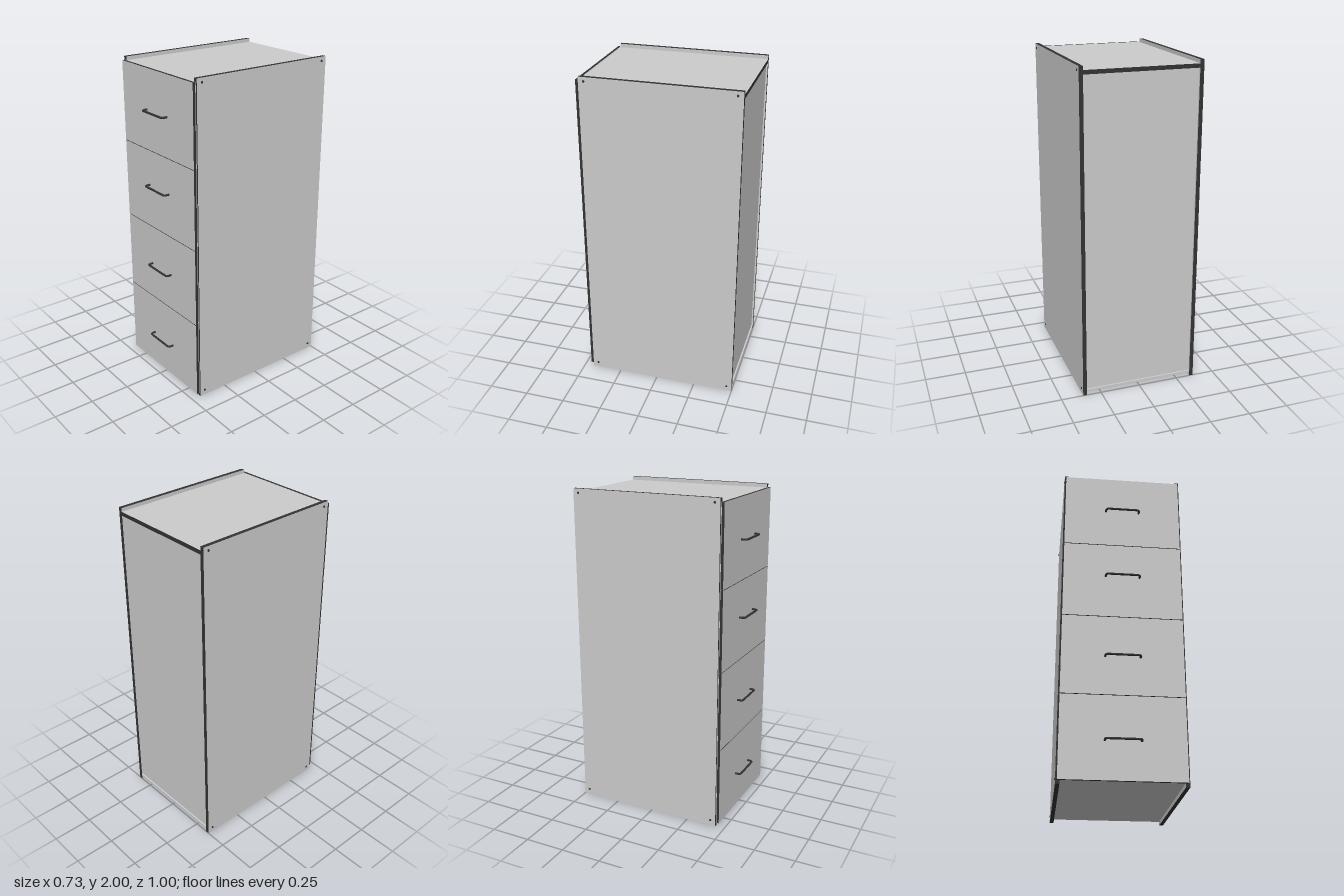
import * as THREE from 'three';

const grey = new THREE.MeshStandardMaterial({ color: 0xcccccc });
const dark = new THREE.MeshStandardMaterial({ color: 0x333333 });

// Box given by its limits; banded names the axis whose two faces stay grey, the rest being dark edges
function panel(name, [x0, x1], [y0, y1], [z0, z1], banded) {
  const geometry = new THREE.BoxGeometry(x1 - x0, y1 - y0, z1 - z0);
  const axis = 'xyz'.indexOf(banded);
  const material = banded
    ? [0, 1, 2, 3, 4, 5].map(i => (Math.floor(i / 2) === axis ? grey : dark))
    : grey;
  const mesh = new THREE.Mesh(geometry, material);
  mesh.position.set((x0 + x1) / 2, (y0 + y1) / 2, (z0 + z1) / 2);
  mesh.name = name;
  return mesh;
}

// U-shaped bar handle with rounded corners
function handleGeometry() {
  const w = 0.102, d = 0.0335, r = 0.018;
  const v = (x, z) => new THREE.Vector3(x, 0, z);
  const path = new THREE.CurvePath();
  path.add(new THREE.LineCurve3(v(-w, 0), v(-w, d - r)));
  path.add(new THREE.QuadraticBezierCurve3(v(-w, d - r), v(-w, d), v(-w + r, d)));
  path.add(new THREE.LineCurve3(v(-w + r, d), v(w - r, d)));
  path.add(new THREE.QuadraticBezierCurve3(v(w - r, d), v(w, d), v(w, d - r)));
  path.add(new THREE.LineCurve3(v(w, d - r), v(w, 0)));
  return new THREE.TubeGeometry(path, 80, 0.0065, 12);
}

export function createModel() {
  const model = new THREE.Group();
  const inner = 0.34, outer = 0.364;

  // Carcass: sides, top, bottom and a recessed back
  model.add(panel('leftSide', [inner, outer], [0, 2], [-0.5, 0.44], 'x'));
  model.add(panel('rightSide', [-outer, -inner], [0, 2], [-0.5, 0.44], 'x'));
  model.add(panel('topPanel', [-inner, inner], [1.954, 1.978], [-0.5, 0.44], 'y'));
  model.add(panel('bottomPanel', [-inner, inner], [0.024, 0.038], [-0.5, 0.44]));
  model.add(panel('backPanel', [-inner, inner], [0.038, 1.954], [-0.49, -0.478]));

  // Drawer fronts with handles
  const joints = [0.018, 0.509, 1.0, 1.49, 1.981];
  const handleHeights = [0.245, 0.745, 1.27, 1.735];
  const handle = handleGeometry();
  handleHeights.forEach((y, i) => {
    const drawer = new THREE.Group();
    drawer.name = `drawer${i + 1}`;
    const span = [joints[i] + 0.002, joints[i + 1] - 0.002];
    drawer.add(panel('drawerFront', [-0.355, 0.355], span, [0.444, 0.46], 'z'));
    drawer.add(panel('drawerBacking', [-0.355, 0.355], span, [0.4402, 0.444]));
    const bar = new THREE.Mesh(handle, dark);
    bar.name = 'handle';
    bar.position.set(0, y, 0.46);
    drawer.add(bar);
    model.add(drawer);
  });

  // Screw heads at the corners of both sides
  const screwGeometry = new THREE.CylinderGeometry(0.007, 0.007, 0.006, 16).rotateZ(Math.PI / 2);
  for (const x of [-outer, outer])
    for (const y of [0.035, 1.975])
      for (const z of [-0.467, 0.407]) {
        const screw = new THREE.Mesh(screwGeometry, dark);
        screw.name = 'screw';
        screw.position.set(x, y, z);
        model.add(screw);
      }

  return model;
}
